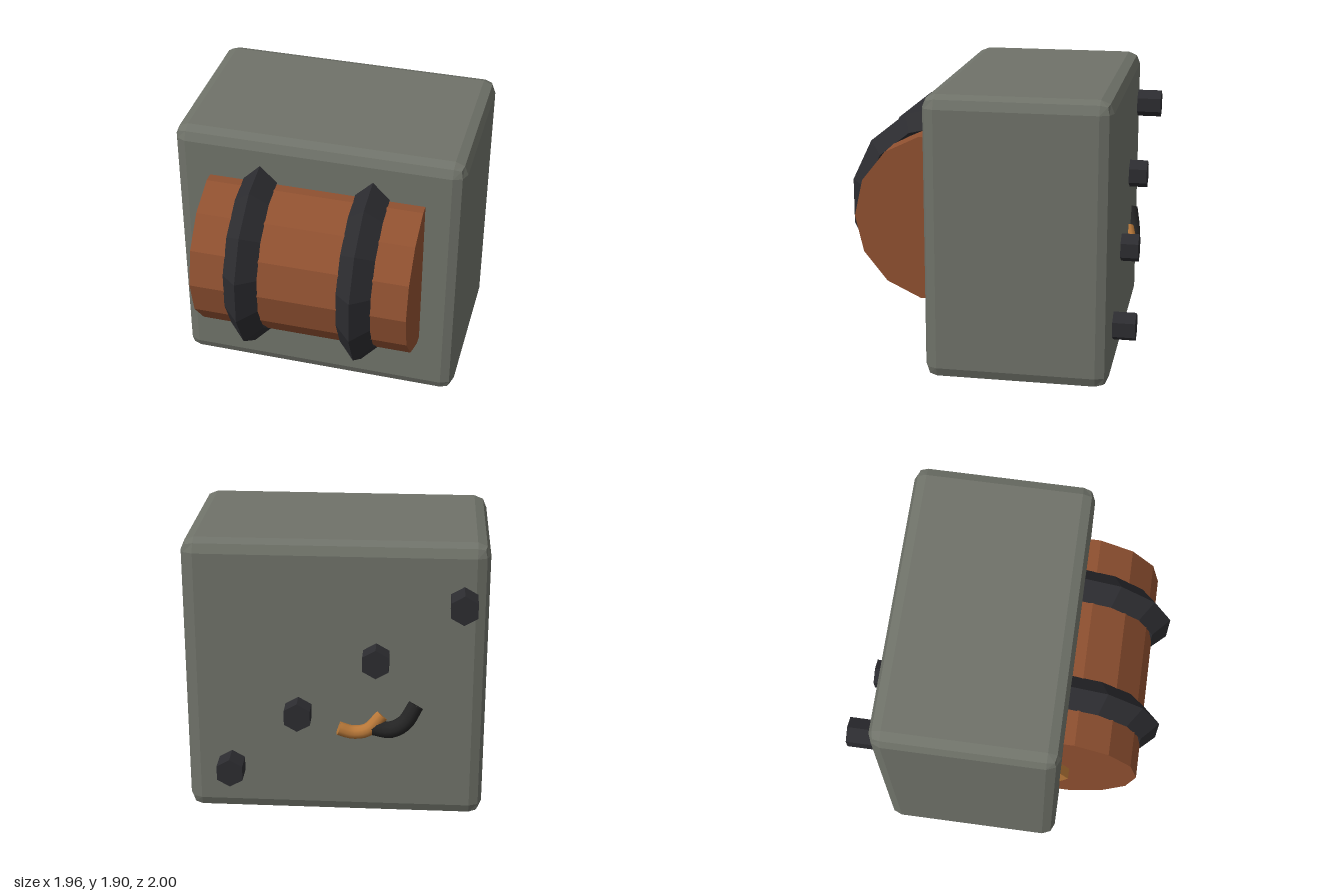
import * as THREE from 'three';
import { RoundedBoxGeometry } from 'three/addons/geometries/RoundedBoxGeometry.js';

const mat = (color, flatShading = true) => new THREE.MeshStandardMaterial({ color, flatShading });
const grey = mat(0x6f7269);
const rust = mat(0x8f5030);
const dark = mat(0x2c2c30);
const copper = mat(0xb87839);
const darkSmooth = mat(0x242424, false);
const copperSmooth = mat(0xb87839, false);

const SIDES = 14;
const AXIS_Y = 1.027, AXIS_Z = 0.33;

export function createModel() {
  const model = new THREE.Group();

  function add(name, geometry, material, x = 0, y = 0, z = 0, parent = model) {
    const mesh = new THREE.Mesh(geometry, material);
    mesh.name = name;
    mesh.position.set(x, y, z);
    parent.add(mesh);
    return mesh;
  }

  // Bevelled housing: one middle row per edge gives a two-step bevel
  add('housing', new RoundedBoxGeometry(1.96, 1.9, 1.215, 1, 0.085), grey, 0, 0.95, -0.2225);

  // Drum lying along x, half sunk into the front, with a corner facing forward
  const drum = new THREE.CylinderGeometry(0.565, 0.565, 1.46, SIDES).rotateZ(Math.PI / 2);
  add('drum', drum, rust, 0, AXIS_Y, AXIS_Z);

  // Hexagonal axle stub on the right end
  const axle = new THREE.CylinderGeometry(0.11, 0.11, 0.2, 6).rotateZ(Math.PI / 2);
  add('axleStub', axle, copper, -0.7, AXIS_Y, AXIS_Z);

  // Ridged bands, turned half a step against the drum
  for (const side of [-1, 1]) {
    const band = new THREE.TorusGeometry(0.575, 0.115, 4, SIDES)
      .rotateZ(Math.PI / SIDES).rotateY(-Math.PI / 2);
    add(side < 0 ? 'rightBand' : 'leftBand', band, dark, side * 0.38, AXIS_Y, AXIS_Z);
  }

  // Diagonal row of hexagonal pegs on the back: x, y, rear end
  const pegs = [[-0.82, 1.535, -1], [-0.27, 1.14, -0.955], [0.235, 0.75, -0.95], [0.68, 0.35, -0.98]];
  for (const [x, y, end] of pegs) {
    const length = -0.75 - end;
    const peg = new THREE.CylinderGeometry(0.0975, 0.0975, length, 6).rotateX(-Math.PI / 2);
    add('backPeg', peg, dark, x, y, end + length / 2);
  }

  // Bent pipe with flat end caps
  function pipe(name, points, radius, material) {
    const group = new THREE.Group();
    group.name = name;
    model.add(group);
    const path = new THREE.CatmullRomCurve3(points.map(p => new THREE.Vector3(...p)));
    add(name + 'Body', new THREE.TubeGeometry(path, 12, radius, 10), material, 0, 0, 0, group);
    for (const t of [0, 1]) {
      const p = path.getPointAt(t);
      const outward = path.getTangentAt(t).multiplyScalar(t ? 1 : -1);
      const cap = add(name + 'Cap', new THREE.CircleGeometry(radius, 10), material, p.x, p.y, p.z, group);
      cap.quaternion.setFromUnitVectors(new THREE.Vector3(0, 0, 1), outward);
    }
  }
  pipe('darkPipe', [[-0.53, 0.81, -0.815], [-0.46, 0.69, -0.84], [-0.37, 0.64, -0.85], [-0.25, 0.65, -0.835]], 0.055, darkSmooth);
  pipe('copperPipe', [[-0.03, 0.645, -0.86], [-0.12, 0.615, -0.85], [-0.22, 0.635, -0.85], [-0.31, 0.73, -0.82]], 0.045, copperSmooth);

  return model;
}
